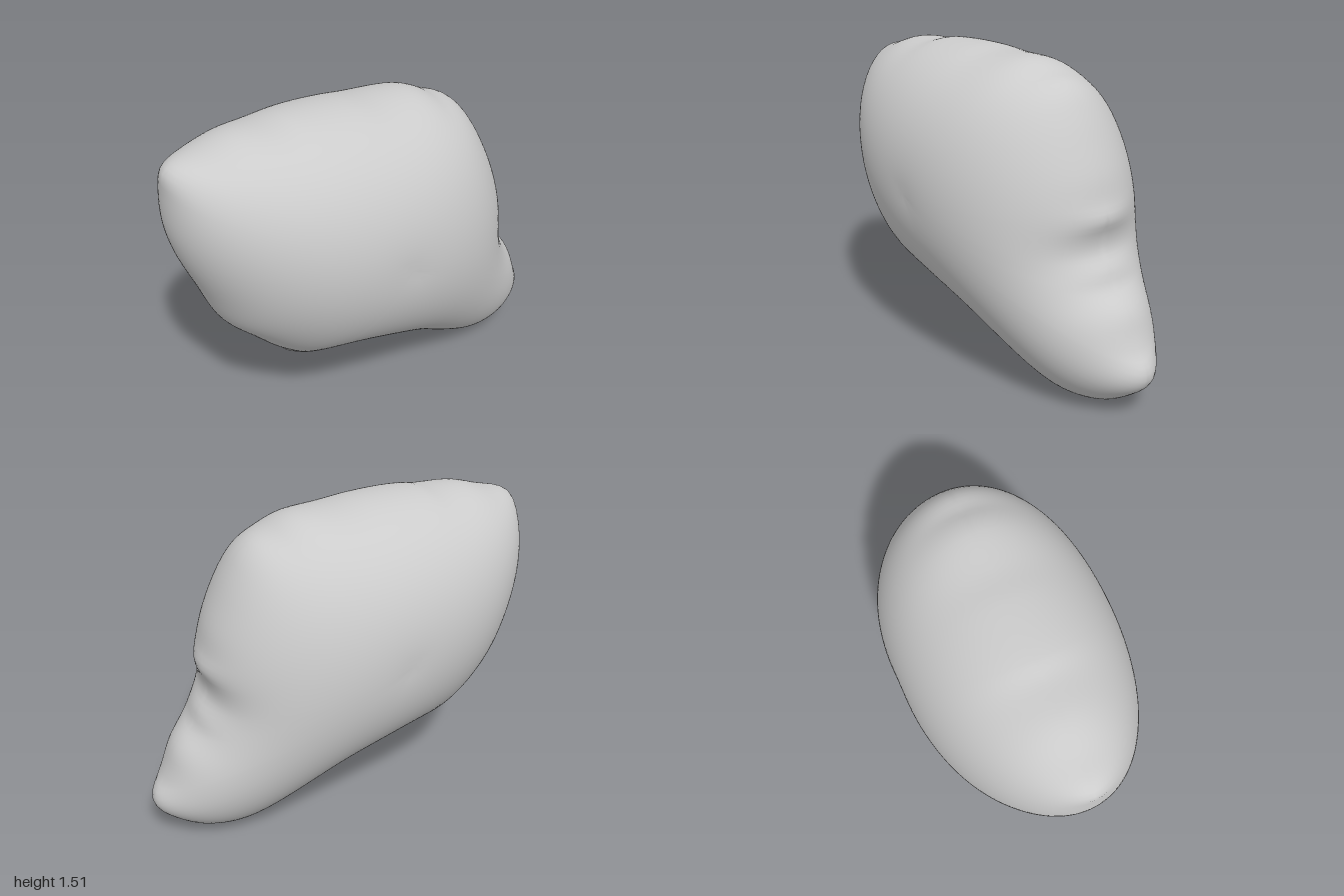
import * as THREE from 'three';

// Side outline, counter-clockwise from the tail tip (x, y pairs)
const OUTLINE = [
  1, .2, .99, .25, .95, .3, .92, .36, .88, .46, .84, .51, .78, .56, .75, .63, .7, .7, .7, .77,
  .725, .85, .7, .92, .67, 1.03, .62, 1.15, .56, 1.27, .5, 1.36, .44, 1.41, .35, 1.44, .29, 1.47,
  .22, 1.49, 0, 1.495, -.15, 1.51, -.42, 1.51, -.5, 1.495, -.68, 1.49, -.83, 1.45, -.95, 1.42,
  -.99, 1.385, -1, 1.3, -1, 1.13, -.97, .99, -.89, .79, -.81, .61, -.7, .5, -.6, .4, -.51, .325,
  -.485, .27, -.455, .28, -.41, .305, -.3, .32, -.2, .3, 0, .25, .1, .225, .2, .175, .3, .12,
  .47, .04, .55, .01, .62, .002, .71, .01, .82, .04, .93, .11, .98, .155,
];
const CENTRE = [-0.1, 0.87];
const RINGS = 40, SEGS = 200, HALF_DEPTH = 0.522;

// Flat fan of rings from the centre out to the outline
function flatSheet() {
  const pts = [];
  for (let i = 0; i < OUTLINE.length; i += 2) pts.push(new THREE.Vector3(OUTLINE[i], OUTLINE[i + 1], 0));
  const rim = new THREE.CatmullRomCurve3(pts, true, 'centripetal').getSpacedPoints(SEGS);
  const verts = [CENTRE], tris = [];
  for (let r = 1; r <= RINGS; r++) {
    const s = Math.sin((r / RINGS) * Math.PI / 2); // rings crowd towards the rim
    for (let j = 0; j < SEGS; j++) {
      verts.push([CENTRE[0] + (rim[j].x - CENTRE[0]) * s, CENTRE[1] + (rim[j].y - CENTRE[1]) * s]);
    }
  }
  const id = (r, j) => 1 + (r - 1) * SEGS + (j % SEGS);
  for (let j = 0; j < SEGS; j++) {
    tris.push([0, id(1, j), id(1, j + 1)]);
    for (let r = 1; r < RINGS; r++) {
      tris.push([id(r, j), id(r + 1, j), id(r + 1, j + 1)], [id(r, j), id(r + 1, j + 1), id(r, j + 1)]);
    }
  }
  return { verts, tris };
}

// Inflate the sheet like a membrane under pressure, held at the rim
function inflate({ verts, tris }) {
  const inner = verts.length - SEGS;
  const links = verts.map(() => new Map());
  const load = new Float64Array(verts.length);
  const add = (a, b, w) => links[a].set(b, (links[a].get(b) || 0) + w);
  for (const t of tris) {
    for (let k = 0; k < 3; k++) {
      const a = t[k], b = t[(k + 1) % 3], c = t[(k + 2) % 3];
      const ux = verts[a][0] - verts[c][0], uy = verts[a][1] - verts[c][1];
      const vx = verts[b][0] - verts[c][0], vy = verts[b][1] - verts[c][1];
      const area2 = Math.abs(ux * vy - uy * vx);
      const w = (ux * vx + uy * vy) / area2 / 2;
      add(a, b, w);
      add(b, a, w);
      load[a] += area2 / 6;
    }
  }
  const ids = links.map((m) => [...m.keys()]);
  const weights = links.map((m) => [...m.values()]);
  const sums = weights.map((w) => w.reduce((p, q) => p + q, 0));
  const u = new Float64Array(verts.length);
  for (let n = 0; n < 1500; n++) {
    for (let i = 0; i < inner; i++) {
      let v = load[i];
      for (let k = 0; k < ids[i].length; k++) v += weights[i][k] * u[ids[i][k]];
      u[i] += 1.85 * (v / sums[i] - u[i]);
    }
  }
  const peak = u.reduce((p, q) => Math.max(p, q), 0);
  return Array.from(u, (v) => HALF_DEPTH * Math.sqrt(Math.max(v, 0) / peak));
}

export function createModel() {
  const sheet = flatSheet();
  const depth = inflate(sheet);
  const { verts, tris } = sheet;
  const inner = verts.length - SEGS;
  const position = [], index = [];
  // Front half, then the mirrored back half sharing the rim
  verts.forEach(([x, y], i) => position.push(x, y, depth[i]));
  for (let i = 0; i < inner; i++) position.push(verts[i][0], verts[i][1], -depth[i]);
  const back = (i) => (i < inner ? verts.length + i : i);
  for (const [a, b, c] of tris) index.push(a, b, c, back(a), back(c), back(b));

  const geometry = new THREE.BufferGeometry();
  geometry.setAttribute('position', new THREE.Float32BufferAttribute(position, 3));
  geometry.setIndex(index);
  geometry.computeVertexNormals();

  const body = new THREE.Mesh(geometry, new THREE.MeshStandardMaterial({ color: 0xcccccc }));
  body.name = 'inflatedBody';
  const group = new THREE.Group();
  group.name = 'model';
  group.add(body);
  return group;
}
